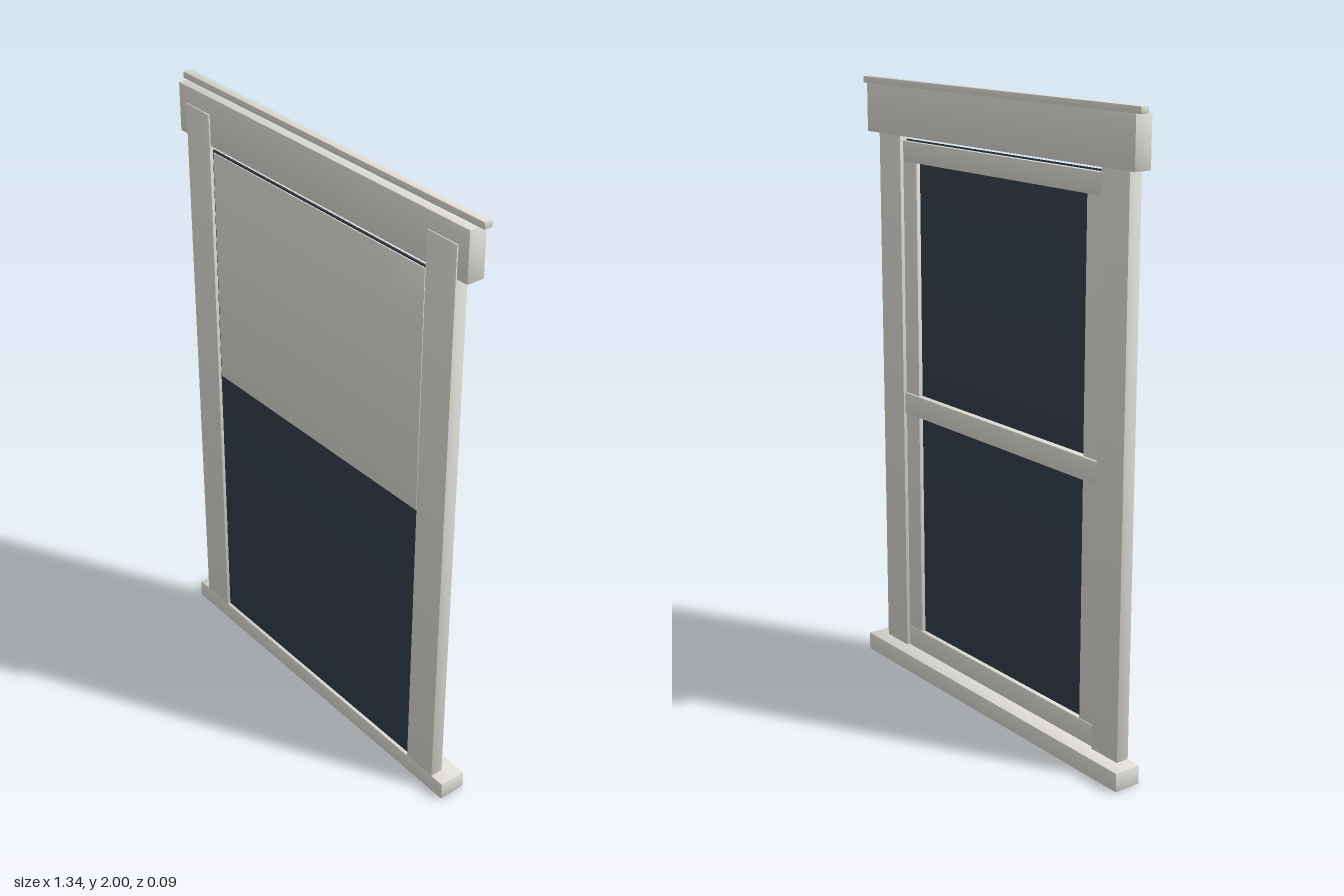
import * as THREE from 'three';

const paint = new THREE.MeshStandardMaterial({ color: 0xdddbd4 });
paint.name = 'offWhitePaint';
const darkGlass = new THREE.MeshStandardMaterial({ color: 0x343d4b });
darkGlass.name = 'darkGlass';

// Box between two corners, with normals leaning gently outwards for soft shading
function softBox(name, material, [x0, x1], [y0, y1], [z0, z1], lean = 0.4) {
  const size = [x1 - x0, y1 - y0, z1 - z0];
  const geometry = new THREE.BoxGeometry(...size, 6, 6, 2);
  const pos = geometry.attributes.position;
  const nor = geometry.attributes.normal;
  const n = new THREE.Vector3();
  for (let i = 0; i < pos.count; i++) {
    n.fromBufferAttribute(nor, i);
    n.x += (lean * 2 * pos.getX(i)) / size[0];
    n.y += (lean * 2 * pos.getY(i)) / size[1];
    n.z += (lean * 2 * pos.getZ(i)) / size[2];
    n.normalize();
    nor.setXYZ(i, n.x, n.y, n.z);
  }
  const mesh = new THREE.Mesh(geometry, material);
  mesh.name = name;
  mesh.position.set((x0 + x1) / 2, (y0 + y1) / 2, (z0 + z1) / 2);
  return mesh;
}

export function createModel() {
  const model = new THREE.Group();
  model.name = 'window';

  // Outer casing: sill, header board and thin crown strip
  model.add(softBox('sill', paint, [-0.66, 0.66], [0, 0.06], [-0.045, 0.045]));
  model.add(softBox('header', paint, [-0.65, 0.65], [1.825, 1.98], [-0.017, 0.041]));
  model.add(softBox('crown', paint, [-0.67, 0.67], [1.98, 2.0], [-0.017, 0.01]));

  // Side posts and the slimmer sash stiles inside them
  for (const [label, s] of [['left', 1], ['right', -1]]) {
    const span = (a, b) => (s > 0 ? [a, b] : [-b, -a]);
    model.add(softBox(label + 'Post', paint, span(0.493, 0.61), [0.06, 1.925], [0.002, 0.045]));
    model.add(softBox(label + 'Stile', paint, span(0.42, 0.493), [0.06, 1.805], [0.014, 0.03]));
  }

  // Horizontal sash rails on the back of the glass
  const rails = [
    ['bottomRail', 0.06, 0.13, 0.012],
    ['meetingRail', 0.9, 0.97, 0.006],
    ['topRail', 1.74, 1.805, 0.012],
  ];
  for (const [name, y0, y1, back] of rails) {
    model.add(softBox(name, paint, [-0.49, 0.49], [y0, y1], [back, 0.03]));
  }

  // Glass sheet, with a half-drawn blind in front of it
  model.add(softBox('glass', darkGlass, [-0.494, 0.494], [0.06, 1.81], [0.028, 0.034], 0.3));
  model.add(softBox('blind', paint, [-0.484, 0.484], [1.02, 1.805], [0.035, 0.039]));

  return model;
}
